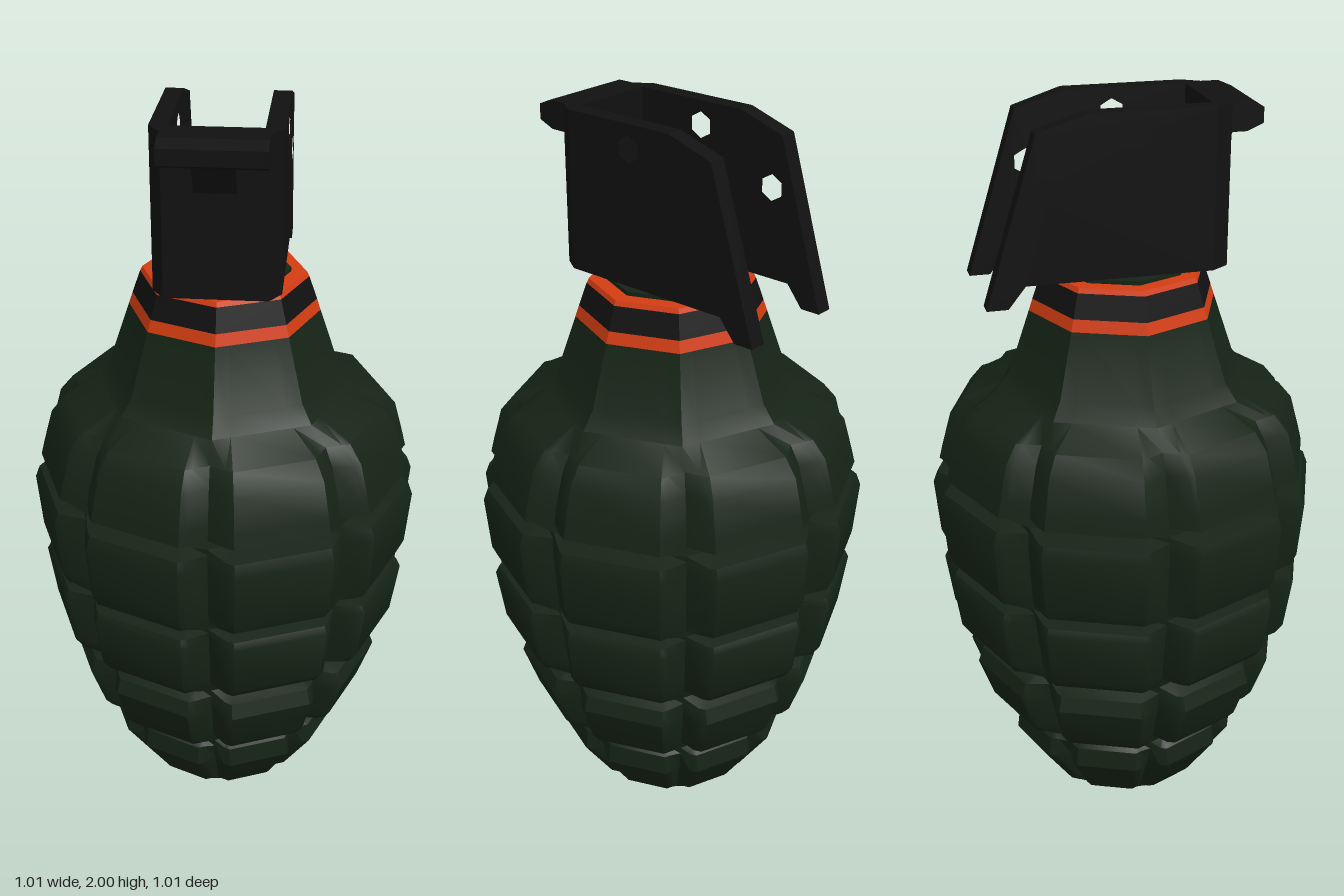
import * as THREE from 'three';
import { toCreasedNormals } from 'three/addons/utils/BufferGeometryUtils.js';

const green = new THREE.MeshStandardMaterial({ color: 0x152315 });
const black = new THREE.MeshStandardMaterial({ color: 0x111111 });
const orange = new THREE.MeshStandardMaterial({ color: 0xd23c12 });

// Body levels: [height, block corner reach, groove radius]; equal values give a plain octagon
const LEVELS = [
  [0, 0.135, 0.135], [0.05, 0.2, 0.195], [0.08, 0.235, 0.21], [0.22, 0.325, 0.285], [0.275, 0.318, 0.305],
  [0.3, 0.31, 0.31], [0.335, 0.37, 0.325], [0.36, 0.39, 0.34], [0.48, 0.43, 0.38], [0.52, 0.415, 0.385],
  [0.54, 0.385, 0.385], [0.58, 0.45, 0.405], [0.61, 0.47, 0.415], [0.755, 0.49, 0.44], [0.775, 0.48, 0.443],
  [0.787, 0.445, 0.445], [0.805, 0.48, 0.447], [0.84, 0.495, 0.45], [0.99, 0.507, 0.46], [1.022, 0.495, 0.457],
  [1.037, 0.455, 0.455], [1.06, 0.487, 0.45], [1.1, 0.477, 0.443], [1.19, 0.452, 0.415], [1.235, 0.415, 0.388],
  [1.275, 0.335, 0.335], [1.32, 0.3, 0.3], [1.48, 0.245, 0.245],
];

// Eight flat blocks around the body, parted by V grooves at the octagon corners
function bodyGeometry() {
  const pos = [], index = [], n = 40, half = Math.PI / 8;
  for (const [y, reach, groove] of LEVELS) {
    const base = groove * Math.cos(half);
    const face = reach > groove ? Math.max(base, reach / 1.023) : base;
    const bevel = Math.min(0.014, (face - base) * 0.4);
    const w = face * 0.26;
    for (let k = 0; k < 8; k++) {
      const a = half + k * Math.PI / 4, s = Math.sin(a), c = Math.cos(a);
      const section = [[-groove * Math.sin(half), base], [-w - bevel, face - bevel], [-w, face], [w, face], [w + bevel, face - bevel]];
      for (const [t, out] of section) pos.push(out * s + t * c, y, out * c - t * s);
    }
  }
  for (let i = 0; i < LEVELS.length - 1; i++) {
    for (let j = 0; j < n; j++) {
      const a = i * n + j, b = i * n + (j + 1) % n;
      index.push(a, b, a + n, b, b + n, a + n);
    }
  }
  // Flat underside
  const centre = pos.length / 3;
  pos.push(0, 0, 0);
  for (let j = 0; j < n; j++) index.push(centre, (j + 1) % n, j);
  const g = new THREE.BufferGeometry();
  g.setAttribute('position', new THREE.Float32BufferAttribute(pos, 3));
  g.setIndex(index);
  return toCreasedNormals(g, 0.6);
}

// Extrudes a side profile given as [z, y] points across x, centred on x
function sideExtrude(points, width, x = 0, holes = []) {
  const shape = new THREE.Shape(points.map(([z, y]) => new THREE.Vector2(-z, y)));
  for (const [z, y, r] of holes) {
    const hex = [];
    for (let i = 0; i < 6; i++) {
      const a = Math.PI / 2 - i * Math.PI / 3;
      hex.push(new THREE.Vector2(-z + r * Math.cos(a), y + r * Math.sin(a)));
    }
    shape.holes.push(new THREE.Path(hex));
  }
  const g = new THREE.ExtrudeGeometry(shape, { depth: width, bevelEnabled: false });
  return g.translate(0, 0, -width / 2).rotateY(Math.PI / 2).translate(x, 0, 0);
}

export function createModel() {
  const model = new THREE.Group();
  const add = (name, geometry, material, parent = model) => {
    const mesh = new THREE.Mesh(geometry, material);
    mesh.name = name;
    parent.add(mesh);
    return mesh;
  };

  add('body', bodyGeometry(), green);

  // Painted rings and plug on the neck
  const ring = (name, y0, y1, r0, r1, material) =>
    add(name, toCreasedNormals(new THREE.CylinderGeometry(r1, r0, y1 - y0, 8), 0.6).translate(0, (y0 + y1) / 2, 0), material);
  ring('lowerNeckBand', 1.48, 1.51, 0.245, 0.235, orange);
  ring('middleNeckBand', 1.51, 1.57, 0.235, 0.214, black);
  ring('neckTop', 1.57, 1.582, 0.214, 0.208, orange);
  ring('neckPlug', 1.58, 1.592, 0.168, 0.168, green);

  // Open channel of the firing lever housing
  const housing = new THREE.Group();
  housing.name = 'leverHousing';
  model.add(housing);

  const cheek = [[0.19, 1.6], [0.19, 2], [-0.12, 2], [-0.245, 1.96], [-0.375, 1.545], [-0.322, 1.545], [-0.278, 1.6]];
  const holes = [[0, 1.94, 0.033], [-0.22, 1.83, 0.033]];
  for (const side of [-1, 1]) {
    add(side > 0 ? 'leftCheek' : 'rightCheek', sideExtrude(cheek, 0.045, side * 0.1325, holes), black, housing);
  }

  // Front plate with chamfered upright corners
  const plate = new THREE.Shape([[-0.155, -0.19], [-0.125, -0.235], [0.125, -0.235], [0.155, -0.19]]
    .map(([x, y]) => new THREE.Vector2(x, y)));
  add('frontPlate', new THREE.ExtrudeGeometry(plate, { depth: 0.4, bevelEnabled: false })
    .rotateX(-Math.PI / 2).translate(0, 1.6, 0), black, housing);

  add('floor', new THREE.BoxGeometry(0.22, 0.035, 0.32).translate(0, 1.6175, 0.03), black, housing);

  // Lip and its supporting rib
  add('frontLip', sideExtrude([[0.235, 1.93], [0.235, 2], [0.28, 2], [0.315, 1.985], [0.315, 1.947], [0.275, 1.93]], 0.25), black, housing);
  add('lipRib', sideExtrude([[0.235, 1.86], [0.235, 1.93], [0.275, 1.93]], 0.1), black, housing);

  return model;
}
